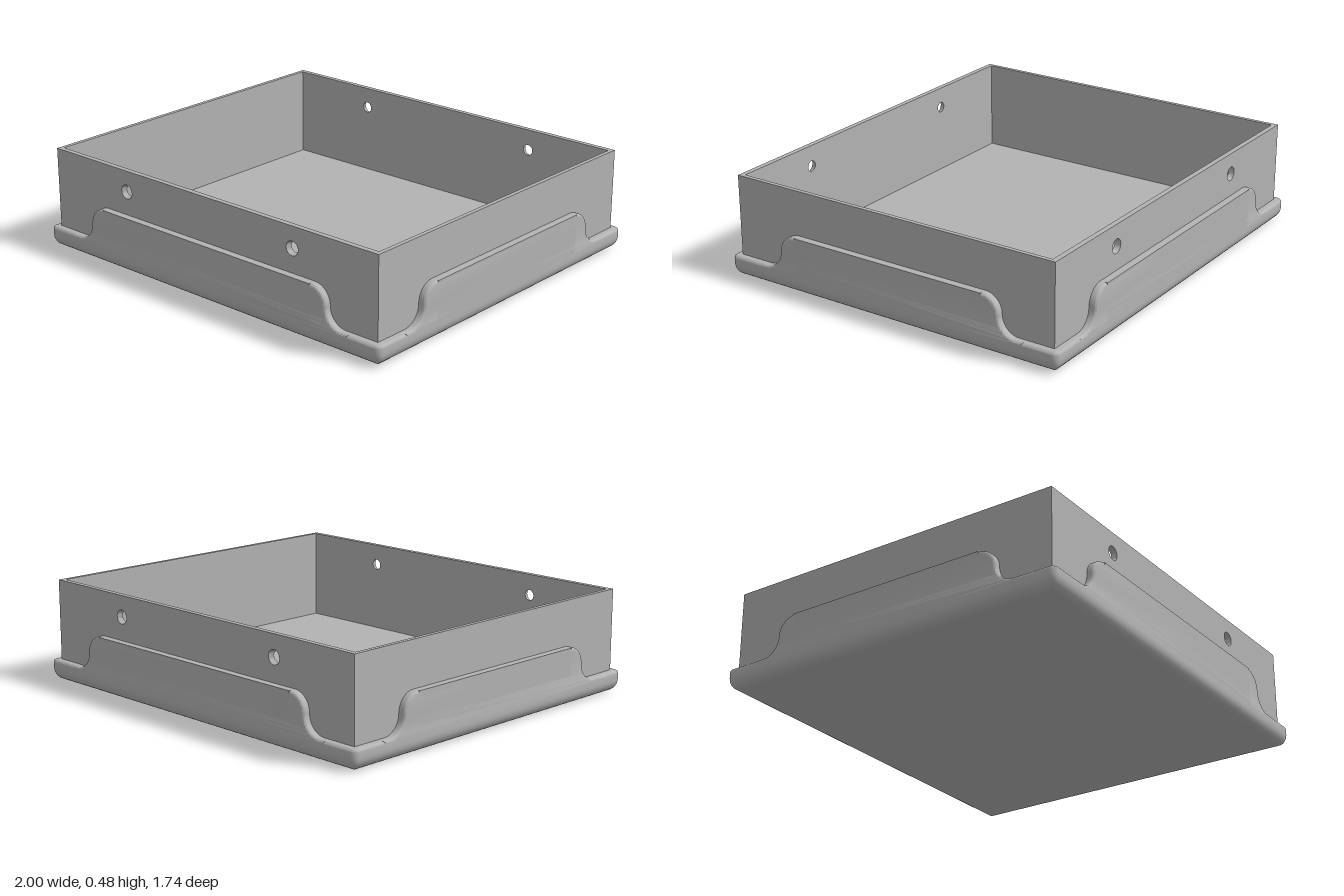
import * as THREE from 'three';
import { toCreasedNormals } from 'three/addons/utils/BufferGeometryUtils.js';

const HX = 1, HZ = 0.87;          // outer half sizes of the base
const WX = 0.965, WZ = 0.835;     // outer half sizes of the walls
const TOP = 0.48, LEDGE = 0.1, TAB = 0.27;

// Rounded rectangle ring, inset from the base outline
function ring(inset, y) {
  const r = Math.max(0.03 - inset, 0.001), pts = [];
  const ax = HX - inset - r, az = HZ - inset - r;
  for (let q = 0; q < 4; q++) {
    const sx = q === 0 || q === 3 ? 1 : -1, sz = q < 2 ? -1 : 1;
    for (let i = 0; i <= 6; i++) {
      const a = (q + i / 6) * Math.PI / 2;
      pts.push([sx * ax + r * Math.cos(a), y, sz * az - r * Math.sin(a)]);
    }
  }
  return pts;
}

// Base shell: flat bottom, rounded lower edge, softly rounded ledge
function baseGeometry() {
  const rings = [ring(0, 0).map(() => [0, 0, 0])];
  const R = 0.06, r = 0.014;
  for (let i = 0; i <= 8; i++) {
    const a = i / 8 * Math.PI / 2;
    rings.push(ring(R - R * Math.sin(a), R - R * Math.cos(a)));
  }
  for (let i = 0; i <= 4; i++) {
    const a = i / 4 * Math.PI / 2;
    rings.push(ring(r - r * Math.cos(a), LEDGE - r + r * Math.sin(a)));
  }
  rings.push(ring(0.042, LEDGE));
  const n = rings[0].length, index = [];
  for (let i = 0; i < rings.length - 1; i++) {
    for (let j = 0; j < n; j++) {
      const a = i * n + j, b = i * n + (j + 1) % n;
      if (i > 0) index.push(a, b, b + n);
      index.push(a, b + n, a + n);
    }
  }
  const g = new THREE.BufferGeometry();
  g.setAttribute('position', new THREE.Float32BufferAttribute(rings.flat(2), 3));
  g.setIndex(index);
  return toCreasedNormals(g, 0.6);
}

// Raised tab with S-curved shoulders; m is the half width at mid height
function tabGeometry(m) {
  const r = (TAB - LEDGE) / 2, y = LEDGE + r, e = m + 0.12, H = Math.PI / 2;
  const s = new THREE.Shape();
  s.moveTo(-e, 0.05);
  s.lineTo(e, 0.05);
  s.lineTo(e, LEDGE);
  s.absarc(m + r, y, r, -H, -2 * H, true);
  s.absarc(m - r, y, r, 0, H, false);
  s.absarc(-m + r, y, r, H, 2 * H, false);
  s.absarc(-m - r, y, r, 0, -H, true);
  s.lineTo(-e, LEDGE);
  const b = 0.012;
  const g = new THREE.ExtrudeGeometry(s, {
    depth: 0.026, bevelSize: b, bevelThickness: b, bevelOffset: -b,
    bevelSegments: 4, curveSegments: 16,
  });
  return toCreasedNormals(g.translate(0, 0, b), 0.6);
}

// Wall with two round holes
function drilledWallGeometry() {
  const s = new THREE.Shape();
  s.moveTo(-WX, 0.03);
  s.lineTo(WX, 0.03);
  s.lineTo(WX, TOP);
  s.lineTo(-WX, TOP);
  s.closePath();
  for (const x of [-0.5, 0.5]) {
    const h = new THREE.Path();
    h.absarc(x, 0.38, 0.033, 0, Math.PI * 2, true);
    s.holes.push(h);
  }
  return new THREE.ExtrudeGeometry(s, { depth: 0.025, bevelEnabled: false, curveSegments: 16 });
}

export function createModel() {
  const model = new THREE.Group();
  model.name = 'tray';
  const grey = new THREE.MeshStandardMaterial({ color: 0xb3b3b3, side: THREE.DoubleSide });
  grey.name = 'grey';
  const add = (parent, name, geometry, x = 0, y = 0, z = 0) => {
    const mesh = new THREE.Mesh(geometry, grey);
    mesh.name = name;
    mesh.position.set(x, y, z);
    parent.add(mesh);
    return mesh;
  };

  add(model, 'base', baseGeometry());
  add(model, 'floor', new THREE.BoxGeometry(1.91, 0.04, 1.64), 0, 0.03, 0);

  // Tapered lining of each hole
  const lining = toCreasedNormals(new THREE.LatheGeometry([
    new THREE.Vector2(0.033, 0), new THREE.Vector2(0.025, 0), new THREE.Vector2(0.033, 0.025),
  ], 32).rotateX(Math.PI / 2), 0.6);

  // Four sides, each built facing +z and then turned
  const sides = [
    ['front', 0, HZ, 0.71], ['back', Math.PI, HZ, 0.71],
    ['left', Math.PI / 2, HX, 0.58], ['right', -Math.PI / 2, HX, 0.58],
  ];
  for (const [name, turn, dist, m] of sides) {
    const side = new THREE.Group();
    side.name = name + 'Side';
    side.rotation.y = turn;
    model.add(side);

    if (dist === HZ) {
      add(side, name + 'Wall', drilledWallGeometry(), 0, 0, WZ - 0.025);
      for (const x of [-0.5, 0.5]) add(side, 'holeLining', lining, x, 0.38, WZ - 0.025);
    } else {
      add(side, name + 'Wall', new THREE.BoxGeometry(1.62, TOP - 0.03, 0.02),
        0, (TOP + 0.03) / 2, WX - 0.01);
    }

    // Tab with soft shoulders and a crisp straight top
    add(side, name + 'Tab', tabGeometry(m), 0, 0, dist - 0.05);
    const w = 2 * (m - (TAB - LEDGE) / 2);
    add(side, name + 'TabTop', new THREE.BoxGeometry(w, TAB - 0.07, 0.05),
      0, (TAB + 0.07) / 2, dist - 0.025);
  }
  return model;
}
